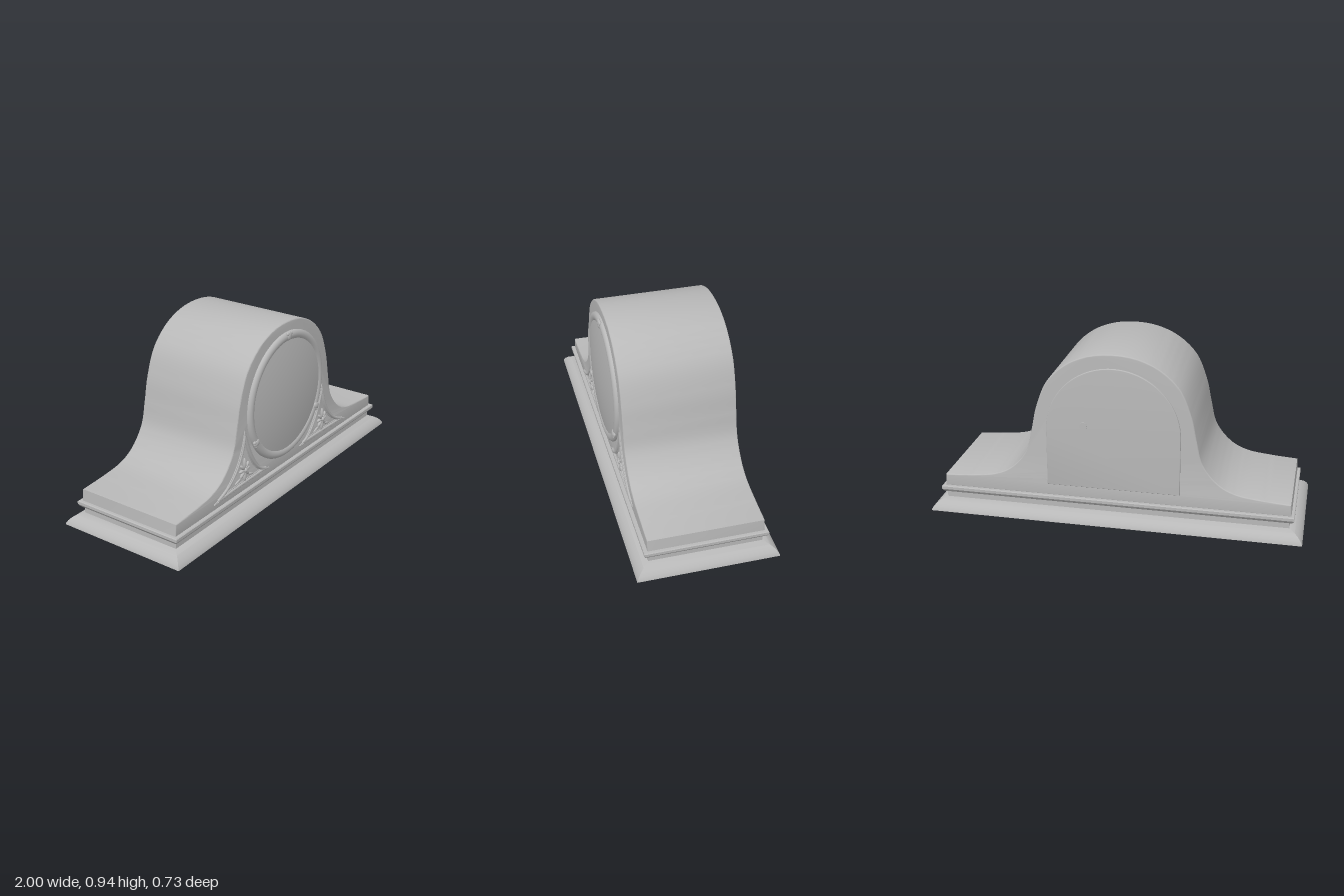
import * as THREE from 'three';
import { toCreasedNormals } from 'three/addons/utils/BufferGeometryUtils.js';

const V2 = (x, y) => new THREE.Vector2(x, y);
const V3 = (x, y, z) => new THREE.Vector3(x, y, z);

// Stack of rectangular rings, each given as [half depth, height]; width follows with the same inset
function rectLoft(rings) {
  const rows = rings.map(([hz, y]) => {
    const hx = hz + 0.633;
    return [[hx, y, hz], [hx, y, -hz], [-hx, y, -hz], [-hx, y, hz]];
  });
  const pos = [];
  const quad = (a, b, c, d) => pos.push(...a, ...b, ...c, ...a, ...c, ...d);
  for (let i = 0; i < rows.length - 1; i++) {
    for (let k = 0; k < 4; k++) {
      const n = (k + 1) % 4;
      quad(rows[i][k], rows[i][n], rows[i + 1][n], rows[i + 1][k]);
    }
  }
  quad(...rows[rows.length - 1]);
  quad(...[...rows[0]].reverse());
  const g = new THREE.BufferGeometry();
  g.setAttribute('position', new THREE.Float32BufferAttribute(pos, 3));
  return toCreasedNormals(g, 0.6);
}

// Extruded plate with rounded edges between two depths
function slab(shape, z0, z1, bevel) {
  const g = new THREE.ExtrudeGeometry(shape, {
    depth: z1 - z0 - 2 * bevel, bevelEnabled: true, bevelThickness: bevel,
    bevelSize: bevel, bevelOffset: -bevel, bevelSegments: 3, curveSegments: 40,
  });
  g.translate(0, 0, z0 + bevel);
  return toCreasedNormals(g, 0.6);
}

export function createModel() {
  const model = new THREE.Group();
  model.name = 'mantelClock';
  const grey = new THREE.MeshStandardMaterial({ color: 0xb8b8b8 });
  grey.name = 'grey';
  const add = (name, geometry, parent = model) => {
    const mesh = new THREE.Mesh(geometry, grey);
    mesh.name = name;
    parent.add(mesh);
    return mesh;
  };

  // Base: flared plinth, neck and moulding
  add('plinth', rectLoft([
    [0.367, 0], [0.365, 0.008], [0.357, 0.022], [0.343, 0.037],
    [0.325, 0.049], [0.295, 0.06], [0.295, 0.097],
  ]));
  add('moulding', rectLoft([
    [0.306, 0.095], [0.312, 0.102], [0.319, 0.112], [0.319, 0.127], [0.315, 0.131],
  ]));

  // Case: hump with swept shoulders
  const half = [
    [0.93, 0.194], [0.79, 0.204], [0.65, 0.224], [0.55, 0.275], [0.47, 0.375], [0.437, 0.5],
    [0.408, 0.63], [0.35, 0.77], [0.25, 0.868], [0.13, 0.922],
  ];
  const outline = [
    ...half.map(([x, y]) => V2(x, y)), V2(0, 0.938),
    ...half.map(([x, y]) => V2(-x, y)).reverse(),
  ];
  const caseShape = new THREE.Shape([
    V2(0.935, 0.128), ...new THREE.SplineCurve(outline).getPoints(120), V2(-0.935, 0.128),
  ]);
  add('case', slab(caseShape, -0.3, 0.3, 0.006));

  // Dial: rounded bezel and domed glass
  const dial = new THREE.Group();
  dial.name = 'dial';
  dial.position.set(0, 0.535, 0.3);
  model.add(dial);
  const bezel = [
    [0.35, -0.002], [0.35, 0.007], [0.345, 0.014], [0.337, 0.019],
    [0.327, 0.021], [0.317, 0.019], [0.309, 0.015], [0.304, 0.01],
  ].map(([r, z]) => V2(r, z));
  add('bezel', new THREE.LatheGeometry(bezel, 96).rotateX(Math.PI / 2), dial);
  const glass = [];
  for (let i = 0; i <= 12; i++) {
    const t = 1 - i / 12;
    glass.push(V2(0.306 * t, 0.015 + 0.025 * (1 - t * t)));
  }
  add('glass', new THREE.LatheGeometry(glass, 96).rotateX(Math.PI / 2), dial);

  // Three bezel ornaments, each a bead with two small side lobes
  for (const angle of [90, 210, 330]) {
    const a = THREE.MathUtils.degToRad(angle);
    const clasp = new THREE.Group();
    clasp.name = 'bezelOrnament';
    clasp.position.set(0.331 * Math.cos(a), 0.331 * Math.sin(a), 0.016);
    clasp.rotation.z = a - Math.PI / 2;
    dial.add(clasp);
    add('bead', new THREE.SphereGeometry(0.022, 20, 12), clasp).scale.set(0.9, 1.1, 0.5);
    for (const s of [-1, 1]) {
      const lobe = add('lobe', new THREE.SphereGeometry(0.011, 12, 8), clasp);
      lobe.position.set(0.014 * s, 0.012, 0);
      lobe.scale.z = 0.8;
    }
  }

  // Corner carvings: nested curved triangles around a flower
  for (const side of [1, -1]) {
    const carving = new THREE.Group();
    carving.name = side > 0 ? 'leftCarving' : 'rightCarving';
    carving.position.set(0.375 * side, 0.25, 0.3);
    model.add(carving);
    const edges = [
      [[0.37, 0.44], [0.296, 0.2], [0.18, 0.178]],
      [[0.18, 0.178], [0.38, 0.178], [0.6, 0.17]],
      [[0.6, 0.17], [0.41, 0.225], [0.37, 0.44]],
    ];
    for (const [scale, radius] of [[1.15, 0.004], [1, 0.009], [0.84, 0.003]]) {
      for (const edge of edges) {
        const p = edge.map(([x, y]) => V3((x - 0.375) * scale * side, (y - 0.25) * scale, 0.001));
        const curve = new THREE.QuadraticBezierCurve3(...p);
        add('carvedBorder', new THREE.TubeGeometry(curve, 24, radius, 8), carving);
      }
    }
    // Flower petals and centre
    for (let i = 0; i < 8; i++) {
      const a = (i * Math.PI) / 4;
      const length = i % 4 === 0 ? 0.032 : i % 2 === 0 ? 0.022 : 0.024;
      const petal = add('petal', new THREE.SphereGeometry(1, 12, 8), carving);
      petal.scale.set(0.0095, length, 0.01);
      petal.position.set(-Math.sin(a) * length * 1.1, Math.cos(a) * length * 1.1, 0.003);
      petal.rotation.z = a;
    }
    add('flowerCentre', new THREE.SphereGeometry(0.013, 16, 10), carving).position.z = 0.007;
    // Low leaves reaching into the lower corners
    for (const s of [-1, 1]) {
      const leaf = add('leaf', new THREE.SphereGeometry(1, 12, 8), carving);
      leaf.scale.set(0.03, 0.007, 0.006);
      leaf.position.set(0.055 * s, -0.045, 0.002);
      leaf.rotation.z = -0.3 * s;
    }
  }

  // Arched back door with a small knob
  const door = new THREE.Shape();
  door.moveTo(-0.355, 0.195);
  door.lineTo(0.355, 0.195);
  door.lineTo(0.355, 0.51);
  door.absarc(0, 0.51, 0.355, 0, Math.PI, false);
  door.closePath();
  add('backDoor', slab(door, -0.31, -0.297, 0.003));
  const knob = add('doorKnob', new THREE.CylinderGeometry(0.02, 0.02, 0.008, 24).rotateX(Math.PI / 2));
  knob.position.set(0.155, 0.545, -0.31);

  return model;
}
